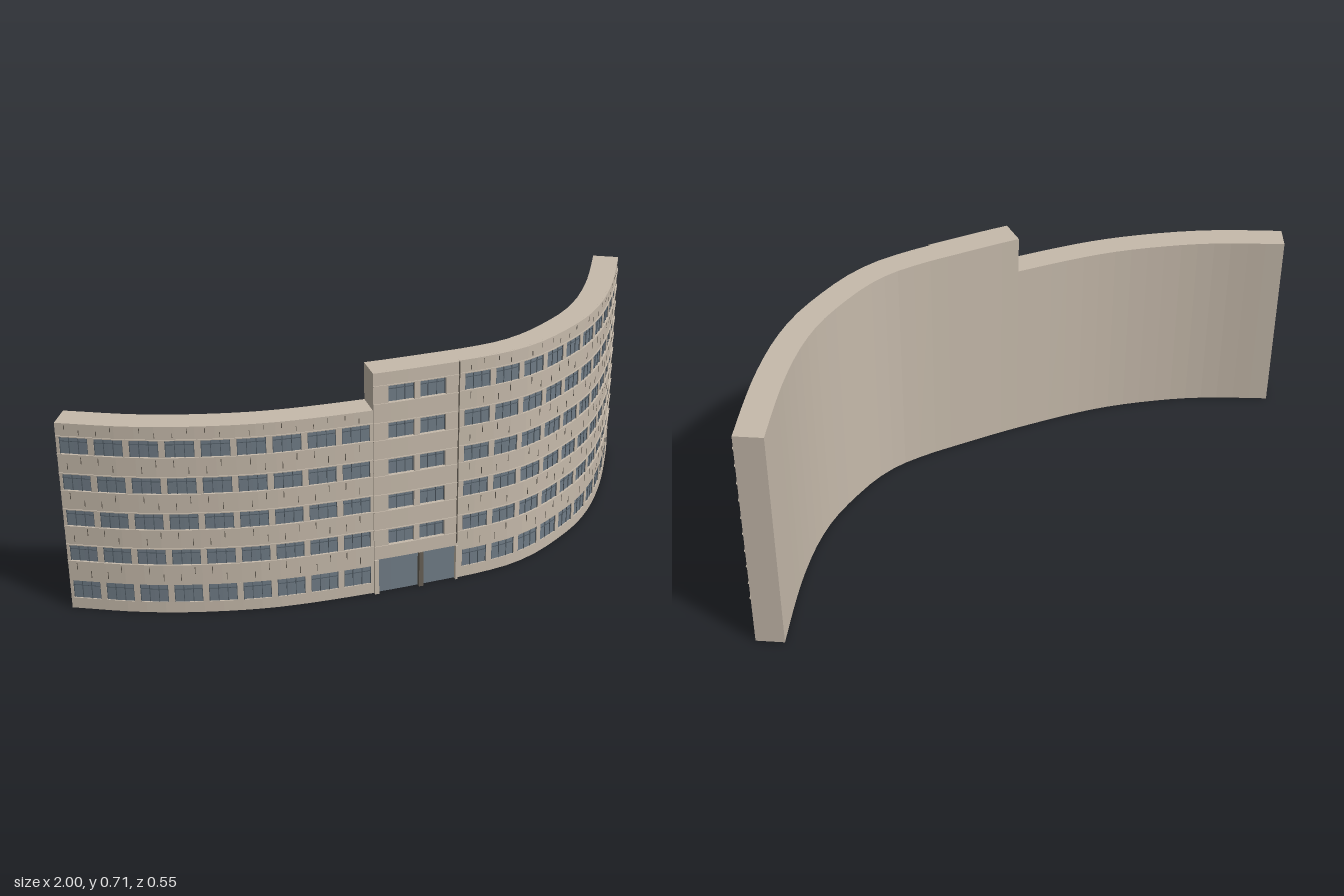
import * as THREE from 'three';
import { mergeGeometries } from 'three/addons/utils/BufferGeometryUtils.js';

// Plan line of the curved facade, from the right end (-x) to the left end (+x)
const plan = new THREE.CatmullRomCurve3([
  [-1, -0.21], [-0.85, -0.087], [-0.72, -0.002], [-0.5, 0.105], [-0.2, 0.193], [0, 0.236],
  [0.11, 0.257], [0.23, 0.268], [0.33, 0.257], [0.43, 0.228], [0.57, 0.17], [0.68, 0.101],
  [0.8, 0], [0.89, -0.09], [1, -0.21],
].map(([x, z]) => new THREE.Vector3(x, 0, z)), false, 'centripetal');
plan.arcLengthDivisions = 800;
const LENGTH = plan.getLength();

// Distance along the facade at a given x
function along(x) {
  let lo = 0, hi = 1;
  for (let i = 0; i < 30; i++) {
    const mid = (lo + hi) / 2;
    if (plan.getPointAt(mid).x < x) lo = mid; else hi = mid;
  }
  return lo * LENGTH;
}

// Box bent along the facade: s = distance along it, d = offset outwards, y = height
function block(s0, s1, d0, d1, y0, y1) {
  const n = Math.max(1, Math.ceil((s1 - s0) / 0.06));
  const rings = [];
  for (let i = 0; i <= n; i++) {
    const u = THREE.MathUtils.clamp((s0 + (s1 - s0) * i / n) / LENGTH, 0, 1);
    const p = plan.getPointAt(u), t = plan.getTangentAt(u);
    const at = (d, y) => [p.x - t.z * d, y, p.z + t.x * d];
    rings.push([at(d0, y0), at(d1, y0), at(d1, y1), at(d0, y1)]);
  }
  const pos = [];
  const quad = (a, b, c, d) => pos.push(...a, ...b, ...c, ...a, ...c, ...d);
  for (let i = 0; i < n; i++) {
    const p = rings[i], q = rings[i + 1];
    for (let k = 0; k < 4; k++) {
      const m = (k + 1) % 4;
      quad(p[k], q[k], q[m], p[m]);
    }
  }
  quad(...rings[0]);
  quad(...[...rings[n]].reverse());
  const g = new THREE.BufferGeometry();
  g.setAttribute('position', new THREE.Float32BufferAttribute(pos, 3));
  g.computeVertexNormals();
  return g;
}

// Window rows: [bottom, top]
const rows = [[0.035, 0.093], [0.16, 0.212], [0.275, 0.327], [0.39, 0.442], [0.505, 0.558], [0.62, 0.673]];
const LOW = 0.6, HIGH = 0.715, DEPTH = -0.083, RECESS = -0.007, ENTRY = 0.115;

export function createModel() {
  const model = new THREE.Group();
  const paint = (name, color) => {
    const m = new THREE.MeshStandardMaterial({ color });
    m.name = name;
    return m;
  };
  const wall = paint('stone wall', 0xc5b9aa);
  const glass = paint('window glass', 0x6f7b85);
  const frame = paint('window frame', 0x505b64);
  const trim = paint('dark trim', 0x655e54);

  const add = (name, geometries, material) => {
    const mesh = new THREE.Mesh(mergeGeometries(geometries), material);
    mesh.name = name;
    model.add(mesh);
  };

  const sA = along(-0.205), sB = along(0.05);
  const sections = [
    { name: 'rightWing', s0: 0, s1: sA, top: LOW, rows: rows.slice(0, 5), count: 9, face: 0, margin: 0 },
    { name: 'entranceTower', s0: sA, s1: sB, top: HIGH, rows: rows.slice(1), count: 2, face: 0.005, margin: 0.036, base: ENTRY },
    { name: 'leftWing', s0: sB, s1: LENGTH, top: HIGH, rows, count: 11, face: 0, margin: 0.012 },
  ];

  // Solid core behind the facade
  add('lowCore', [block(0, sA, DEPTH, RECESS, 0, LOW)], wall);
  add('highCore', [block(sA, LENGTH, DEPTH, RECESS, 0, HIGH)], wall);

  for (const { name, s0, s1, top, rows: levels, count, face, margin, base = 0 } of sections) {
    const skin = [], panes = [], bars = [], ledges = [], slits = [];
    const isTower = name === 'entranceTower';
    const a = s0 + margin;
    const step = isTower ? 0.097 : (s1 - margin * 0.5 - a) / count;
    const half = step * 0.41;
    let y = base;
    levels.forEach(([lo, hi], level) => {
      // Spandrel below the row, then piers between windows
      skin.push(block(s0, s1, RECESS, face, y, lo));
      let edge = s0;
      for (let i = 0; i < count; i++) {
        const mid = a + step * (i + 0.5), l = mid - half, r = mid + half;
        skin.push(block(edge, l, RECESS, face, lo, hi));
        edge = r;
        panes.push(block(l, r, RECESS, -0.004, lo, hi));
        // Transom, jambs and two mullions
        const w = 0.002, tr = lo + (hi - lo) * 0.72;
        bars.push(block(l, r, -0.004, -0.002, tr, tr + w));
        for (const f of [0, 0.33, 0.67, 1]) {
          const c = l + w / 2 + (r - l - w) * f;
          bars.push(block(c - w / 2, c + w / 2, -0.004, -0.002, lo, hi));
        }
        // Narrow joints in the spandrel above the window
        if (!isTower) {
          const room = (level === levels.length - 1 ? top : levels[level + 1][0]) - hi;
          for (const k of [0, 1]) {
            const b = hi + room * ((i + level + k) % 2 ? 0.2 : 0.54);
            const c = mid + half * (k ? 0.55 : -0.45) + half * ((i * 5 + 2) % 7 - 3) / 9;
            slits.push(block(c - 0.001, c + 0.001, face, face + 0.001, b, b + room * 0.34));
          }
        }
      }
      skin.push(block(edge, s1, RECESS, face, lo, hi));
      // Sill and head ledges on the upper floors
      if (lo > 0.1) {
        for (const e of [lo - 0.003, hi]) ledges.push(block(s0, s1, face, face + 0.003, e, e + 0.003));
      }
      y = hi;
    });
    skin.push(block(s0, s1, RECESS, face, y, top));
    add(name + 'Wall', skin, wall);
    add(name + 'Glass', panes, glass);
    add(name + 'Frames', bars, frame);
    add(name + 'Ledges', ledges, wall);
    if (slits.length) add(name + 'Joints', slits, trim);
  }

  // Entrance: glazing with a dark post and stone jambs
  const sM = along(-0.062);
  add('entranceGlass', [block(sA, sB, RECESS, -0.003, 0, ENTRY)], glass);
  add('entrancePost', [block(sM - 0.007, sM + 0.007, -0.003, 0.01, 0, ENTRY)], trim);
  add('entranceJambs', [block(sA, sA + 0.013, -0.003, 0.01, 0, ENTRY),
    block(sB - 0.003, sB + 0.004, -0.003, 0.01, 0, ENTRY)], wall);

  // Upright rib where the tower meets the long wing
  add('towerRib', [block(sB - 0.0015, sB + 0.0015, 0, 0.008, 0.125, HIGH)], trim);
  return model;
}
